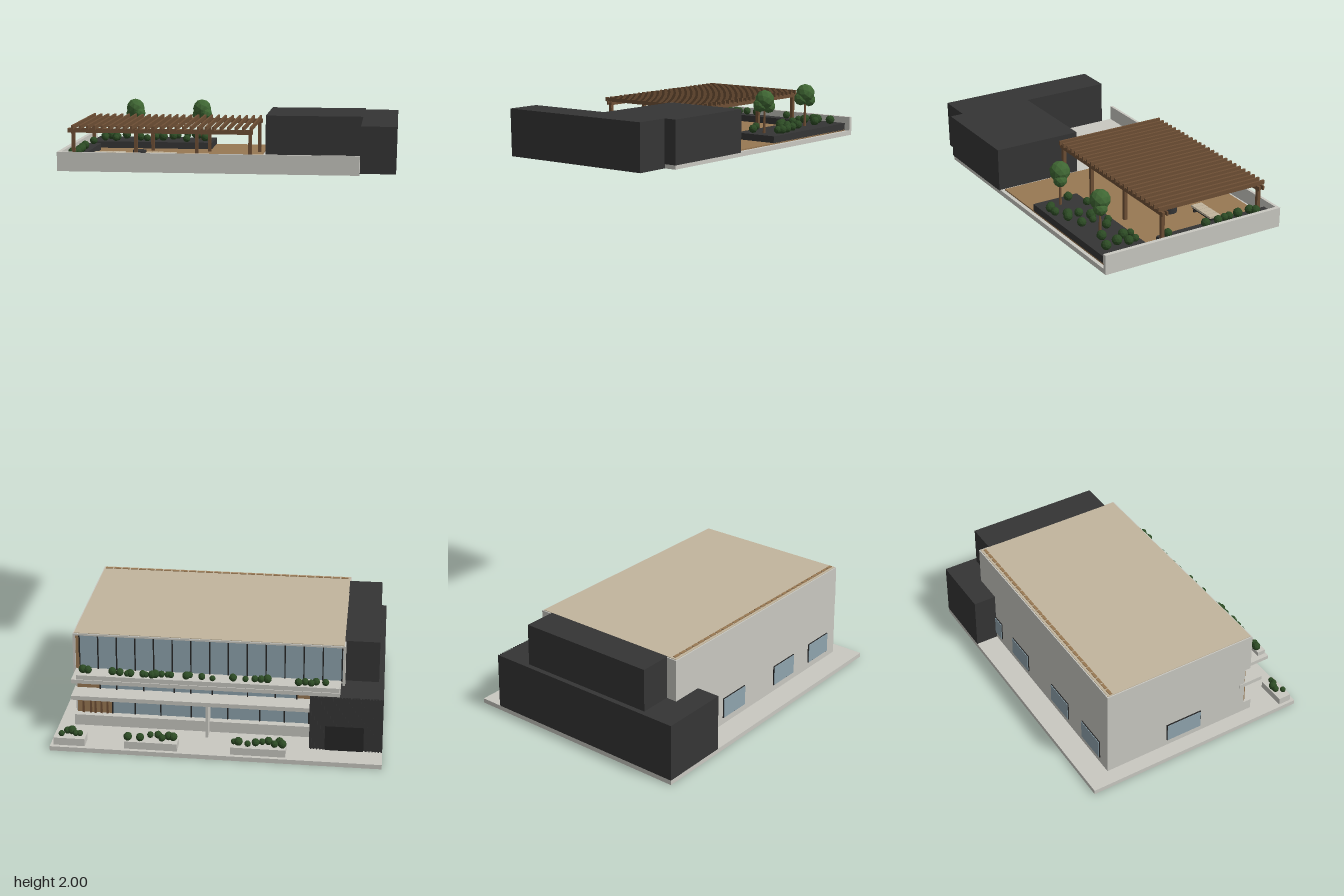
import * as THREE from 'three';

const paint = (name, color, flatShading = false) => {
  const m = new THREE.MeshStandardMaterial({ color, flatShading });
  m.name = name;
  return m;
};

export function createModel() {
  const concrete = paint('concrete', 0xc9c8c1);
  const charcoal = paint('charcoal', 0x353535);
  const black = paint('black frame', 0x262626);
  const glass = paint('glass', 0x8fa4ae);
  const timber = paint('timber', 0x987853);
  const darkTimber = paint('dark timber', 0x6e4f35);
  const plaster = paint('beige ceiling', 0xc2b59d);
  const leaf = paint('shrub green', 0x2c4a24, true);
  const crownGreen = paint('tree green', 0x3f6633, true);

  const model = new THREE.Group();
  const lower = new THREE.Group();
  lower.name = 'lowerFloors';
  const roof = new THREE.Group();
  roof.name = 'roofTerrace';
  model.add(lower, roof);

  // Box given by its extents on each axis
  const box = (parent, name, mat, x0, x1, y0, y1, z0, z1) => {
    const mesh = new THREE.Mesh(new THREE.BoxGeometry(x1 - x0, y1 - y0, z1 - z0), mat);
    mesh.position.set((x0 + x1) / 2, (y0 + y1) / 2, (z0 + z1) / 2);
    mesh.name = name;
    parent.add(mesh);
    return mesh;
  };

  let seed = 7;
  const rand = () => (seed = (seed * 16807) % 2147483647) / 2147483647;
  const shrubGeo = new THREE.IcosahedronGeometry(1, 1);
  const shrub = (parent, x, y, z) => {
    const r = 0.0095 + rand() * 0.005;
    const m = new THREE.Mesh(shrubGeo, leaf);
    m.name = 'shrub';
    m.scale.setScalar(r);
    m.position.set(x, y + r * 0.6, z);
    m.rotation.y = rand() * 6;
    parent.add(m);
  };
  // Row of shrubs along x with a little scatter in z
  const shrubRow = (parent, xs, y, z, spread) =>
    xs.forEach((x) => shrub(parent, x, y, z + (rand() - 0.5) * spread));

  // ---- Ground plate and service block ----
  box(lower, 'groundSlab', concrete, -0.53, 0.53, 0, 0.015, -0.4, 0.4);
  box(lower, 'serviceBlock', charcoal, 0.297, 0.53, 0.015, 0.2, -0.4, 0.32);
  box(lower, 'serviceDoor', black, 0.347, 0.47, 0.015, 0.1, 0.32, 0.326);
  for (let i = 0; i < 24; i++) {
    const x = 0.3 + i * 0.0098;
    const low = x > 0.34 && x < 0.47 ? 0.102 : 0.015;
    box(lower, 'claddingSlat', charcoal, x, x + 0.004, low, 0.199, 0.319, 0.325);
  }
  box(lower, 'upperServiceBlock', charcoal, 0.4, 0.513, 0.2, 0.34, -0.283, 0.2);

  // ---- Ground floor ----
  box(lower, 'groundFloorWalls', concrete, -0.478, 0.297, 0.015, 0.2, -0.32, 0.22);
  box(lower, 'plinth', concrete, -0.478, 0.297, 0.015, 0.052, 0.22, 0.25);
  box(lower, 'timberEntry', timber, -0.472, -0.355, 0.052, 0.128, 0.22, 0.228);
  for (const x of [-0.455, -0.43, -0.415, -0.395, -0.375])
    box(lower, 'entrySlat', darkTimber, x, x + 0.006, 0.052, 0.128, 0.228, 0.234);
  box(lower, 'groundGlass', glass, -0.355, 0.292, 0.052, 0.128, 0.22, 0.227);
  for (const x of [-0.355, -0.28, -0.195, -0.095, -0.035, 0.025, 0.13, 0.21, 0.29])
    box(lower, 'groundMullion', black, x - 0.002, x + 0.002, 0.052, 0.128, 0.226, 0.231);
  box(lower, 'finWall', concrete, -0.04, -0.032, 0.015, 0.128, 0.22, 0.29);
  box(lower, 'canopy', concrete, -0.48, 0.297, 0.126, 0.14, 0.2, 0.29);
  box(lower, 'timberBand', timber, -0.472, 0.296, 0.14, 0.188, 0.22, 0.226);
  box(lower, 'clerestory', glass, -0.395, 0.25, 0.142, 0.182, 0.225, 0.23);
  for (const x of [-0.395, -0.34, -0.25, -0.15, -0.095, -0.025, 0.09, 0.18, 0.25])
    box(lower, 'clerestoryMullion', black, x - 0.002, x + 0.002, 0.14, 0.184, 0.228, 0.233);
  box(lower, 'clerestoryHead', black, -0.397, 0.252, 0.182, 0.186, 0.224, 0.233);

  // Small windows on the back and the side
  for (const [a, b] of [[-0.43, -0.318], [-0.225, -0.113], [0.053, 0.165], [0.25, 0.295]]) {
    box(lower, 'backWindowFrame', black, a - 0.002, b + 0.002, 0.038, 0.107, -0.323, -0.318);
    box(lower, 'backWindow', glass, a, b, 0.04, 0.105, -0.325, -0.32);
  }
  box(lower, 'sideWindowFrame', black, -0.482, -0.476, 0.038, 0.104, -0.092, 0.042);
  box(lower, 'sideWindow', glass, -0.484, -0.478, 0.04, 0.102, -0.09, 0.04);

  // ---- Upper floor ----
  box(lower, 'upperFloorWalls', concrete, -0.48, 0.405, 0.2, 0.338, -0.32, 0.222);
  box(lower, 'upperGlass', glass, -0.47, 0.397, 0.212, 0.332, 0.222, 0.23);
  box(lower, 'upperHead', concrete, -0.48, 0.405, 0.332, 0.338, 0.222, 0.24);
  for (const x of [-0.48, 0.397])
    box(lower, 'endFin', concrete, x, x + 0.008, 0.2, 0.332, 0.222, 0.24);
  box(lower, 'upperTimberPost', timber, -0.472, -0.46, 0.212, 0.332, 0.229, 0.234);
  for (let i = 0; i <= 14; i++) {
    const x = -0.46 + i * 0.061;
    box(lower, 'upperMullion', black, x - 0.002, x + 0.002, 0.212, 0.332, 0.229, 0.234);
  }
  box(lower, 'upperCeiling', plaster, -0.476, 0.401, 0.336, 0.34, -0.316, 0.236);
  for (let i = 0; i < 29; i++)
    box(lower, 'ceilingBatten', timber, -0.472 + i * 0.03, -0.447 + i * 0.03, 0.338, 0.342, -0.308, -0.298);

  // Balcony with its long planter
  box(lower, 'balconySlab', concrete, -0.472, 0.392, 0.2, 0.213, 0.215, 0.318);
  box(lower, 'balconyPlanter', concrete, -0.456, 0.39, 0.213, 0.228, 0.287, 0.315);
  shrubRow(lower, [-0.437, -0.42, -0.34, -0.315, -0.29, -0.28, -0.24, -0.23, -0.21, -0.2, -0.18, -0.16,
    -0.15, -0.1, -0.09, -0.05, -0.015, 0.05, 0.09, 0.12, 0.14, 0.16, 0.26, 0.28, 0.3, 0.315, 0.345],
  0.232, 0.3, 0.016);

  // Street planters
  for (const [a, b, xs] of [
    [-0.52, -0.418, [-0.495, -0.48, -0.465, -0.45, -0.437]],
    [-0.29, -0.12, [-0.28, -0.24, -0.21, -0.185, -0.17, -0.15, -0.135]],
    [0.05, 0.226, [0.06, 0.075, 0.105, 0.13, 0.15, 0.17, 0.19, 0.205, 0.215]],
  ]) {
    box(lower, 'streetPlanter', concrete, a, b, 0.015, 0.04, 0.343, 0.388);
    shrubRow(lower, xs, 0.044, 0.365, 0.025);
  }

  // ---- Roof terrace ----
  box(roof, 'roofSlab', concrete, -0.478, 0.408, 1.83, 1.844, -0.32, 0.238);
  box(roof, 'frontParapet', concrete, -0.478, 0.408, 1.83, 1.886, 0.232, 0.24);
  box(roof, 'sideParapet', concrete, -0.478, -0.466, 1.83, 1.886, -0.32, 0.238);
  box(roof, 'stairBlock', charcoal, 0.11, 0.41, 1.842, 1.966, -0.322, -0.064);
  box(roof, 'roofServiceBlock', charcoal, 0.408, 0.513, 1.83, 1.966, -0.283, 0.2);
  box(roof, 'deck', timber, -0.456, 0.1, 1.843, 1.848, -0.309, 0.222);
  box(roof, 'backPlanter', charcoal, -0.456, -0.07, 1.846, 1.868, -0.309, -0.17);
  box(roof, 'sidePlanter', charcoal, -0.456, -0.417, 1.846, 1.868, -0.125, 0.23);

  for (const [x, z] of [[-0.415, -0.28], [-0.404, -0.24], [-0.42, -0.213], [-0.415, -0.19], [-0.38, -0.207],
    [-0.38, -0.184], [-0.358, -0.26], [-0.28, -0.193], [-0.305, -0.213], [-0.26, -0.264], [-0.257, -0.227],
    [-0.232, -0.218], [-0.21, -0.278], [-0.194, -0.27], [-0.203, -0.24], [-0.163, -0.292], [-0.137, -0.292],
    [-0.126, -0.284], [-0.152, -0.184], [-0.097, -0.213]])
    shrub(roof, x, 1.872, z);
  for (const z of [-0.1, 0.02, 0.06, 0.085, 0.1, 0.13, 0.17, 0.182])
    shrub(roof, -0.436 + (rand() - 0.5) * 0.014, 1.872, z);

  // Trees
  for (const [x, z] of [[-0.325, -0.245], [-0.11, -0.245]]) {
    const trunk = new THREE.Mesh(new THREE.CylinderGeometry(0.003, 0.005, 0.08, 6), darkTimber);
    trunk.name = 'treeTrunk';
    trunk.position.set(x, 1.9, z);
    roof.add(trunk);
    for (const [dx, dy, dz, r] of [[0, 0.967, 0, 0.029], [0.012, 0.952, 0.008, 0.021], [-0.012, 0.947, -0.006, 0.02]]) {
      const crown = new THREE.Mesh(shrubGeo, crownGreen);
      crown.name = 'treeCrown';
      crown.position.set(x + dx, 1 + dy, z + dz);
      crown.scale.setScalar(r);
      roof.add(crown);
    }
  }

  // Pergola
  for (const z of [-0.12, 0.192]) {
    for (const x of [-0.437, -0.25, -0.07, 0.087])
      box(roof, 'pergolaPost', darkTimber, x - 0.005, x + 0.005, 1.846, 1.945, z - 0.005, z + 0.005);
    for (const s of [-0.007, 0.007])
      box(roof, 'pergolaBeam', darkTimber, -0.452, 0.095, 1.938, 1.95, z + s - 0.002, z + s + 0.002);
  }
  for (let i = 0; i < 25; i++) {
    const x = -0.436 + i * 0.0219;
    box(roof, 'pergolaSlat', darkTimber, x - 0.003, x + 0.003, 1.948, 1.96, -0.133, 0.21);
  }

  // Benches and round table
  for (const x of [-0.396, -0.239]) {
    for (let i = 0; i < 5; i++)
      box(roof, 'benchSeat', plaster, x + i * 0.0187, x + 0.017 + i * 0.0187, 1.862, 1.868, 0.063, 0.097);
    box(roof, 'benchFrame', black, x + 0.002, x + 0.09, 1.857, 1.862, 0.066, 0.094);
    for (const dx of [0.004, 0.082])
      box(roof, 'benchLeg', black, x + dx, x + dx + 0.005, 1.846, 1.858, 0.067, 0.093);
  }
  const table = new THREE.Mesh(new THREE.CylinderGeometry(0.021, 0.021, 0.018, 20), charcoal);
  table.name = 'roundTable';
  table.position.set(-0.27, 1.857, 0.013);
  roof.add(table);

  return model;
}
